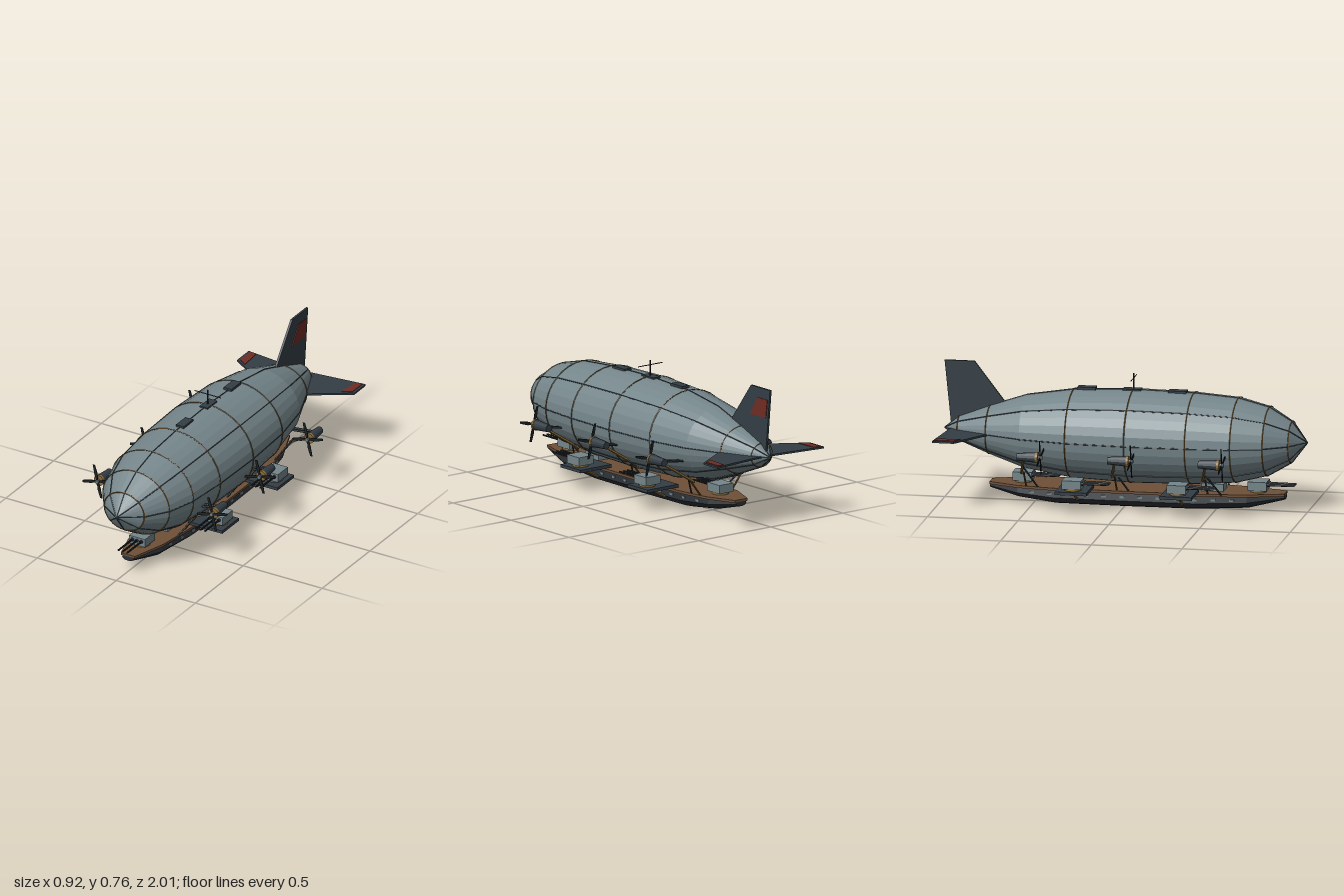
import * as THREE from 'three';
import { mergeGeometries } from 'three/addons/utils/BufferGeometryUtils.js';

const mat = (name, color, extra = {}) => {
  const m = new THREE.MeshStandardMaterial({ color, flatShading: true, ...extra });
  m.name = name;
  return m;
};

export function createModel() {
  const skin = mat('envelopeGrey', 0x75868b);
  const dark = mat('darkSteel', 0x343e45);
  const hullMat = mat('hullBlack', 0x2a3036, { side: THREE.DoubleSide });
  const black = mat('gunBlack', 0x1c2125);
  const brass = mat('brass', 0x8c6c3a);
  const trim = mat('bronzeTrim', 0x6b5028);
  const wood = mat('deckWood', 0x6e5038);
  const red = mat('redPanel', 0x702c24, { side: THREE.DoubleSide });
  const gunGrey = mat('turretGrey', 0x75868b);
  const root = new THREE.Group();
  root.name = 'airship';

  const V = (x, y, z) => new THREE.Vector3(x, y, z);
  const add = (name, geo, material, x = 0, y = 0, z = 0, parent = root) => {
    const m = new THREE.Mesh(geo, material);
    m.name = name;
    m.position.set(x, y, z);
    parent.add(m);
    return m;
  };
  const box = (w, h, d) => new THREE.BoxGeometry(w, h, d);
  // round bar between two points
  const bar = (a, b, r, sides = 6) => {
    const d = b.clone().sub(a);
    const g = new THREE.CylinderGeometry(r, r, d.length(), sides);
    g.applyQuaternion(new THREE.Quaternion().setFromUnitVectors(V(0, 1, 0), d.normalize()));
    const c = a.clone().add(b).multiplyScalar(0.5);
    return g.translate(c.x, c.y, c.z);
  };
  // cylinder lying along z; rf is the front radius
  const zCyl = (rf, rb, len, sides = 12) =>
    new THREE.CylinderGeometry(rf, rb, len, sides).rotateX(Math.PI / 2);

  // Envelope: faceted lathe, slightly wider than tall
  const CY = 0.39, WIDE = 1.125;
  const stations = [[0, -1], [0.066, -0.92], [0.132, -0.75], [0.2, -0.55], [0.241, -0.29],
    [0.255, 0.04], [0.249, 0.375], [0.231, 0.62], [0.188, 0.79], [0.113, 0.915], [0, 1]];
  const body = new THREE.LatheGeometry(stations.map(p => new THREE.Vector2(...p)), 32);
  body.rotateX(Math.PI / 2).scale(WIDE, 1, 1);
  add('envelope', body, skin, 0, CY, 0);
  stations.forEach(([r, z], i) => {
    if (r && i !== 3) add('envelopeRing',
      new THREE.TorusGeometry(r, 0.0035, 5, 32).scale(WIDE, 1, 1), trim, 0, CY, z);
  });
  const ribs = [];
  for (let k = 0; k < 8; k++) {
    const a = k * Math.PI / 4;
    const pts = stations.map(([r, z]) => V(Math.cos(a) * r * WIDE, Math.sin(a) * r, z));
    for (let i = 1; i < pts.length; i++) ribs.push(bar(pts[i - 1], pts[i], 0.0035, 5));
  }
  add('envelopeRibs', mergeGeometries(ribs), dark, 0, CY, 0);
  add('noseCap', zCyl(0.005, 0.011, 0.014, 10), skin, 0, CY, 0.993);

  // Roof hatches and mast
  for (const z of [-0.215, 0.035, 0.285]) add('roofHatch', box(0.05, 0.014, 0.1), dark, 0, 0.643, z);
  add('mast', bar(V(0, 0.64, 0.042), V(0, 0.735, 0.042), 0.004), black);
  add('mastCrossbar', bar(V(-0.083, 0.709, 0.042), V(0.083, 0.709, 0.042), 0.0025), black);

  // Tail fins: outlines extruded to thin slabs
  const slab = (pts, t) => new THREE.ExtrudeGeometry(
    new THREE.Shape(pts.map(p => new THREE.Vector2(...p))), { depth: t, bevelEnabled: false }).translate(0, 0, -t / 2);
  // shape x = -z, shape y = y
  const upright = (pts, t) => slab(pts, t).rotateY(Math.PI / 2);
  add('verticalFin', upright([[0.67, 0.55], [0.835, 0.765], [1, 0.765], [0.965, 0.42], [0.7, 0.42]], 0.012), dark);
  add('verticalFinPanel', upright([[0.83, 0.605], [0.895, 0.708], [0.98, 0.708], [0.967, 0.605]], 0.004), red, 0.007);
  for (const s of [1, -1]) {
    // shape y = -z
    const flat = (pts, t) => slab((s > 0 ? pts : pts.slice().reverse()).map(([x, y]) => [x * s, y]), t).rotateX(-Math.PI / 2);
    add('horizontalFin', flat([[0, 0.72], [0.145, 0.735], [0.37, 0.88], [0.37, 1], [0.02, 0.96]], 0.01), dark, 0, CY);
    add('horizontalFinPanel', flat([[0.305, 0.855], [0.355, 0.885], [0.355, 0.99], [0.315, 0.985]], 0.004), red, 0, CY + 0.006);
  }

  // Gondola hull: loops of half-width and keel height along z
  const hullRows = [[0.88, 0.035, 0.072], [0.68, 0.095, 0.022], [0.4, 0.13, 0.006],
    [0, 0.132, 0.004], [-0.38, 0.13, 0.006], [-0.58, 0.1, 0.03], [-0.745, 0.035, 0.072]];
  const section = [[-0.93, 1], [-1, 0.52], [-0.72, 0.17], [-0.3, 0], [0.3, 0], [0.72, 0.17], [1, 0.52], [0.93, 1]];
  const n = section.length, pos = [], idx = [];
  for (const [z, w, low] of hullRows)
    for (const [u, v] of section) pos.push(u * w, low + v * (0.097 - low), z);
  for (let i = 0; i < hullRows.length - 1; i++)
    for (let j = 0; j < n; j++) {
      const a = i * n + j, b = i * n + (j + 1) % n;
      idx.push(a, a + n, b, b, a + n, b + n);
    }
  const last = (hullRows.length - 1) * n;
  for (let j = 1; j < n - 1; j++) idx.push(0, j, j + 1, last, last + j + 1, last + j);
  const hull = new THREE.BufferGeometry();
  hull.setAttribute('position', new THREE.Float32BufferAttribute(pos, 3));
  hull.setIndex(idx);
  hull.computeVertexNormals();
  add('gondolaHull', hull, hullMat);

  // Deck follows the hull outline with a small overhang
  const edge = hullRows.map(([z, w]) => [w + 0.009, -z]);
  const outline = [...edge, ...edge.map(([x, y]) => [-x, y]).reverse()];
  add('deck', slab(outline, 0.014).rotateX(-Math.PI / 2), wood, 0, 0.102);

  // Small ports along the hull side
  const halfWidth = z => {
    const i = Math.max(1, hullRows.findIndex(r => r[0] <= z));
    const [z0, w0] = hullRows[i - 1], [z1, w1] = hullRows[i];
    return w0 + (w1 - w0) * (z0 - z) / (z0 - z1);
  };
  for (const s of [1, -1])
    for (let z = -0.5; z < 0.62; z += 0.1)
      add('hullPort', box(0.006, 0.012, 0.025), gunGrey, s * halfWidth(z) * 0.968, 0.073, z);

  // Turrets with three barrels each
  const turret = (x, y, z) => {
    const g = new THREE.Group();
    g.name = 'turret';
    g.position.set(x, y, z);
    root.add(g);
    add('turretRing', new THREE.CylinderGeometry(0.046, 0.046, 0.014, 16), brass, 0, 0.006, 0, g);
    add('turretHouse', box(0.1, 0.048, 0.105), gunGrey, 0, 0.035, 0, g);
    for (const k of [-1, 0, 1]) {
      add('barrelCollar', zCyl(0.01, 0.01, 0.012, 10), dark, k * 0.028, 0.041, 0.056, g);
      add('gunBarrel', zCyl(0.005, 0.006, 0.15, 8), black, k * 0.028, 0.041, 0.127, g);
    }
  };
  turret(0, 0.11, 0.73);
  turret(0, 0.11, -0.565);
  add('deckCabin', box(0.1, 0.042, 0.12), gunGrey, 0, 0.129, 0.485);

  for (const s of [1, -1]) {
    // Side gun platforms
    for (const z of [0.333, -0.245]) {
      add('gunPlatform', box(0.215, 0.017, 0.175), dark, s * 0.212, 0.122, z);
      add('platformBrace', bar(V(s * 0.125, 0.048, z), V(s * 0.25, 0.116, z), 0.008), brass);
      turret(s * 0.252, 0.131, z);
    }
    // Engines, their mounts and the gondola hangers
    for (const z of [0.5, 0, -0.5]) {
      const g = new THREE.Group();
      g.name = 'engine';
      g.position.set(s * 0.362, 0.327, z);
      root.add(g);
      add('nacelle', zCyl(0.029, 0.021, 0.105), dark, 0, 0, 0.02, g);
      add('nacelleCollar', zCyl(0.031, 0.031, 0.014, 14), brass, 0, 0, 0.078, g);
      add('propellerHub', zCyl(0.01, 0.012, 0.026, 10), gunGrey, 0, 0, 0.095, g);
      for (let k = 0; k < 4; k++) {
        const blade = add('propellerBlade', slab([[0.008, -0.005], [0.045, -0.011], [0.097, -0.008],
          [0.1, 0.004], [0.045, 0.008], [0.008, 0.005]], 0.004), black, 0, 0, 0.096, g);
        blade.rotation.z = 0.26 + k * Math.PI / 2;
      }
      const inner = z < -0.4 ? 0.19 : 0.235;
      for (const dz of [-0.005, 0.018])
        add('engineBeam', bar(V(s * 0.345, 0.325, z + dz), V(s * inner, 0.307, z + dz), 0.006), dark);
      add('engineBrace', bar(V(s * 0.345, 0.312, z), V(s * 0.165, 0.192, z - 0.045), 0.008), brass);
      const top = z - 0.03, foot = z > 0.3 ? z + 0.09 : z + 0.04;
      add('gondolaHanger', bar(V(s * 0.2, 0.235, top), V(s * 0.115, 0.1, foot > 0.55 ? 0.55 : foot), 0.005), dark);
      add('gondolaHanger', bar(V(s * 0.185, 0.205, top), V(s * 0.105, 0.1, top), 0.005), trim);
    }
  }
  return root;
}
